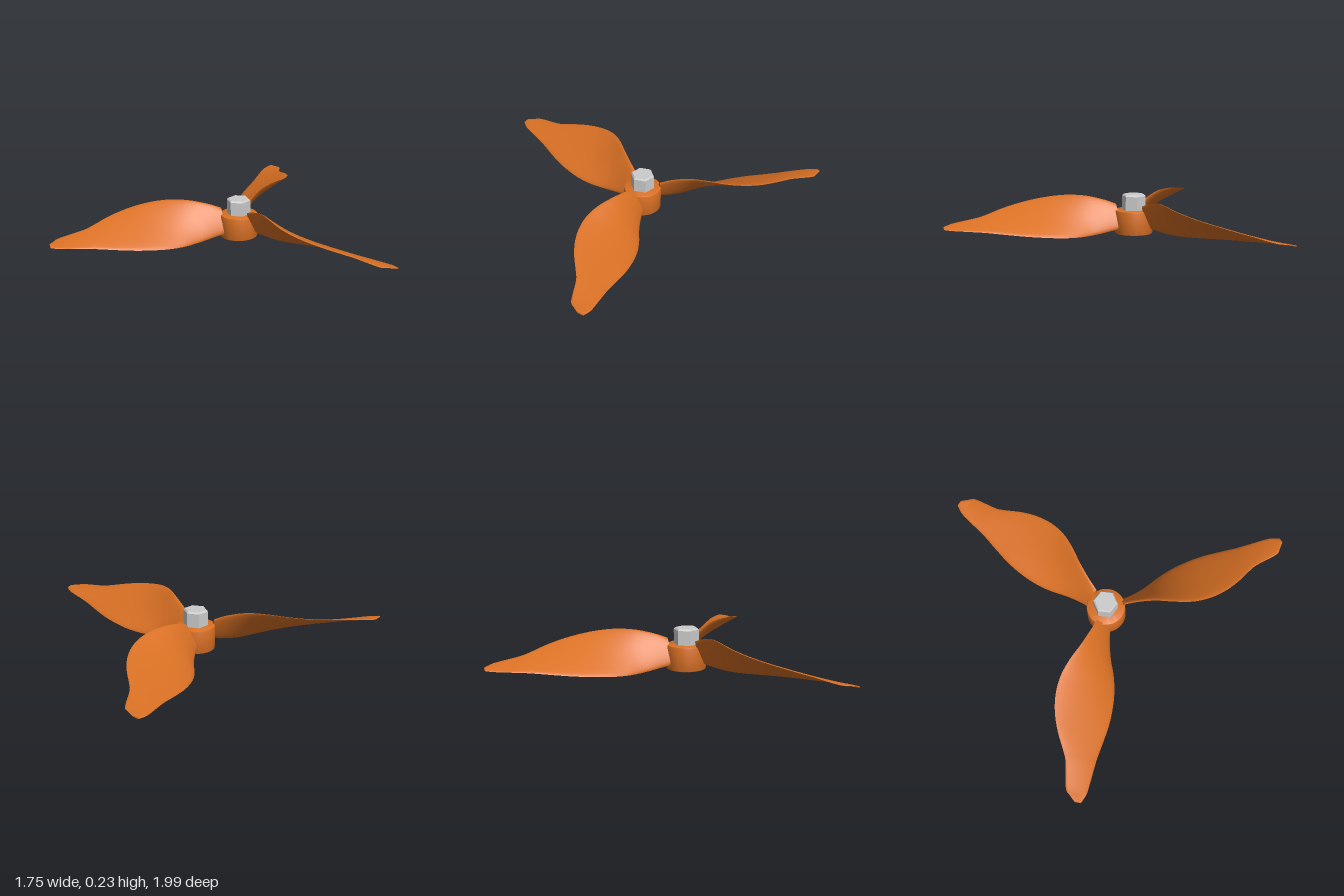
import * as THREE from 'three';
import { toCreasedNormals } from 'three/addons/utils/BufferGeometryUtils.js';

const orange = new THREE.MeshStandardMaterial({ color: 0xd97024 });
const grey = new THREE.MeshStandardMaterial({ color: 0xcccccc });

// Blade stations: radius, trailing edge z and y, leading edge z and y, thickness
const stations = [
  [0.10, -0.035, 0.034, 0.040, 0.176, 0.026],
  [0.17, -0.040, 0.022, 0.063, 0.201, 0.026],
  [0.27, -0.060, 0.010, 0.105, 0.222, 0.026],
  [0.37, -0.090, 0.008, 0.157, 0.224, 0.025],
  [0.47, -0.108, 0.013, 0.195, 0.213, 0.023],
  [0.57, -0.112, 0.022, 0.208, 0.197, 0.021],
  [0.67, -0.105, 0.032, 0.199, 0.178, 0.019],
  [0.77, -0.087, 0.043, 0.170, 0.157, 0.017],
  [0.87, -0.066, 0.055, 0.126, 0.132, 0.015],
  [0.93, -0.057, 0.062, 0.105, 0.120, 0.013],
  [1.07, -0.038, 0.074, 0.084, 0.099, 0.010],
  [1.11, -0.025, 0.077, 0.054, 0.094, 0.009],
  [1.14, -0.010, 0.080, 0.025, 0.090, 0.008],
];

// Linear-radius sampling of the stations with a smooth spline through each column
function sampleStation(u) {
  const n = stations.length - 1;
  const i = Math.min(Math.floor(u * n), n - 1);
  const f = u * n - i;
  const at = (k) => stations[Math.max(0, Math.min(n, k))];
  return stations[0].map((_, c) => {
    const [a, b, d, e] = [at(i - 1)[c], at(i)[c], at(i + 1)[c], at(i + 2)[c]];
    return b + 0.5 * f * (d - a + f * (2 * a - 5 * b + 4 * d - e + f * (3 * (b - d) + e - a)));
  });
}

// Twisted blade lofted from thin aerofoil sections along +x
function bladeGeometry() {
  const rows = 60, half = 12, ring = half * 2;
  const pos = [], idx = [];
  for (let i = 0; i <= rows; i++) {
    const [r, zb, yb, zf, yf, t] = sampleStation(i / rows);
    const len = Math.hypot(zf - zb, yf - yb);
    const ny = (zf - zb) / len, nz = -(yf - yb) / len; // upper-side normal
    for (let j = 0; j < ring; j++) {
      const a = (j / ring) * Math.PI * 2;
      const s = (1 - Math.cos(a)) / 2; // 0 trailing, 1 leading
      const side = Math.sin(a);
      const h = t * (side > 0 ? 0.6 : 0.4) * side;
      pos.push(r, yb + (yf - yb) * s + ny * h, zb + (zf - zb) * s + nz * h);
    }
  }
  for (let i = 0; i < rows; i++) {
    for (let j = 0; j < ring; j++) {
      const a = i * ring + j, b = i * ring + ((j + 1) % ring);
      idx.push(a, b, a + ring, b, b + ring, a + ring);
    }
  }
  // End caps
  const last = rows * ring;
  for (let j = 1; j < ring - 1; j++) {
    idx.push(0, j + 1, j);
    idx.push(last, last + j, last + j + 1);
  }
  const g = new THREE.BufferGeometry();
  g.setAttribute('position', new THREE.Float32BufferAttribute(pos, 3));
  g.setIndex(idx);
  return toCreasedNormals(g, 0.9);
}

function lathe(points, segments, crease) {
  const g = new THREE.LatheGeometry(points.map(([r, y]) => new THREE.Vector2(r, y)), segments);
  return toCreasedNormals(g, crease);
}

function addMesh(parent, name, geometry, material) {
  const mesh = new THREE.Mesh(geometry, material);
  mesh.name = name;
  parent.add(mesh);
  return mesh;
}

export function createModel() {
  const group = new THREE.Group();
  group.name = 'propeller';
  const rotor = new THREE.Group();
  rotor.name = 'rotor';
  rotor.position.x = -0.27;
  group.add(rotor);

  // Round hub with softened rims
  addMesh(rotor, 'hub', lathe([
    [0, 0], [0.106, 0], [0.111, 0.003], [0.113, 0.009],
    [0.113, 0.133], [0.111, 0.140], [0.105, 0.143], [0, 0.143],
  ], 64, 0.6), orange);

  // Hexagonal nut with a chamfered top
  addMesh(rotor, 'nut', lathe([
    [0, 0.14], [0.072, 0.14], [0.072, 0.226], [0.064, 0.235], [0, 0.235],
  ], 6, 0.3), grey);

  // Three blades spaced evenly round the hub
  const blade = bladeGeometry();
  for (let i = 0; i < 3; i++) {
    addMesh(rotor, 'blade' + (i + 1), blade, orange).rotation.y = (i * Math.PI * 2) / 3;
  }
  return group;
}
